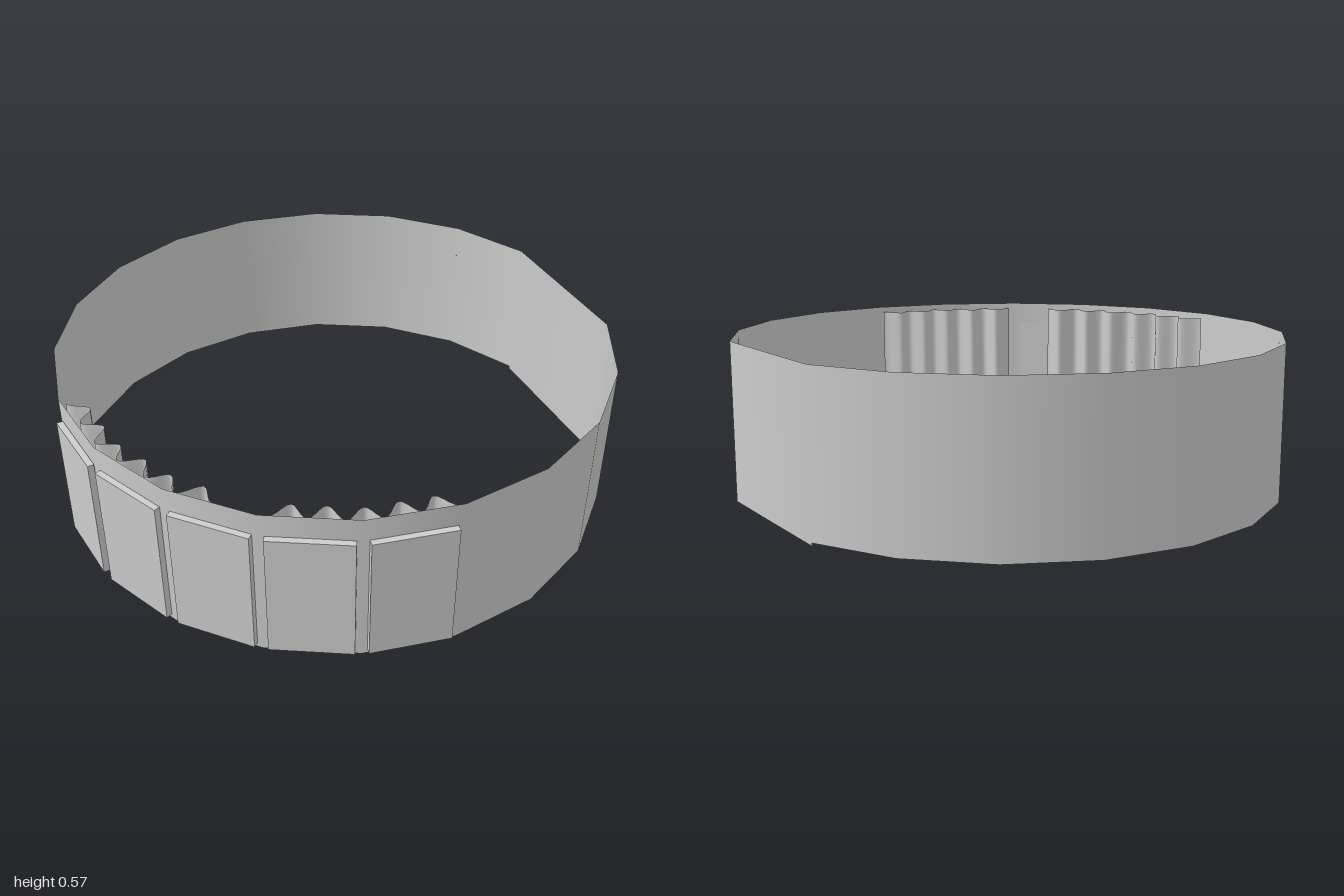
import * as THREE from 'three';

const grey = new THREE.MeshStandardMaterial({ color: 0xcccccc, side: THREE.DoubleSide });
grey.name = 'plain grey';

const DEG = Math.PI / 180;
const R = 1.0;                    // corner radius of the ring
const APOTHEM = R * Math.cos(9 * DEG);
const TOP = 0.57;
const PANEL = { w: 0.275, y0: 0.03, y1: 0.49, t: 0.022 };

function rect(target, x0, y0, x1, y1) {
  target.moveTo(x0, y0);
  target.lineTo(x1, y0);
  target.lineTo(x1, y1);
  target.lineTo(x0, y1);
  target.closePath();
  return target;
}

// One flat side of the ring between two angles, with normals that blend around the ring
function wallSide(a0, a1, bottom, open) {
  const half = R * Math.sin((a1 - a0) / 2);
  const shape = rect(new THREE.Shape(), -half, bottom, half, TOP);
  if (open) {
    const w = PANEL.w / 2 - 0.006;
    shape.holes.push(rect(new THREE.Path(), -w, PANEL.y0 + 0.006, w, PANEL.y1 - 0.006));
  }
  const g = new THREE.ShapeGeometry(shape);
  g.translate(0, 0, R * Math.cos((a1 - a0) / 2));
  g.rotateY((a0 + a1) / 2);
  const p = g.attributes.position, n = g.attributes.normal;
  for (let i = 0; i < p.count; i++) {
    const l = Math.hypot(p.getX(i), p.getZ(i));
    n.setXYZ(i, p.getX(i) / l, 0, p.getZ(i) / l);
  }
  return new THREE.Mesh(g, grey);
}

// Pleated vertical sheet following the inside of the ring
function curtain(fromDeg, toDeg, waves) {
  const steps = waves * 10;
  const g = new THREE.PlaneGeometry(1, 1, steps, 1);
  const p = g.attributes.position;
  for (let i = 0; i < p.count; i++) {
    const t = p.getX(i) + 0.5;
    const a = (fromDeg + (toDeg - fromDeg) * t) * DEG;
    const side = a - Math.round(a / (18 * DEG)) * 18 * DEG;
    const inset = 0.05 - 0.03 * Math.cos(t * waves * 2 * Math.PI);
    const r = APOTHEM / Math.cos(side) - inset;
    p.setXYZ(i, Math.sin(a) * r, p.getY(i) > 0 ? 0.55 : 0.02, Math.cos(a) * r);
  }
  g.computeVertexNormals();
  return new THREE.Mesh(g, grey);
}

export function createModel() {
  const model = new THREE.Group();
  model.name = 'ringWithPanels';
  const body = new THREE.Group();
  body.name = 'body';
  body.position.z = -0.0125;
  model.add(body);

  // Ring wall: twenty corners, one left out at the back to make a long chord
  const wall = new THREE.Group();
  wall.name = 'ringWall';
  const corners = [];
  for (let d = -45; d <= 315; d += 18) if (d !== 135) corners.push(d);
  for (let i = 0; i + 1 < corners.length; i++) {
    const a = corners[i], b = corners[i + 1];
    const side = wallSide(a * DEG, b * DEG, b - a > 20 ? 0 : 0.01, b <= 45);
    side.name = 'wallSide';
    wall.add(side);
  }
  body.add(wall);

  // Raised window panels on the five front sides
  const panels = new THREE.Group();
  panels.name = 'windowPanels';
  for (let k = -2; k <= 2; k++) {
    const g = new THREE.BoxGeometry(PANEL.w, PANEL.y1 - PANEL.y0, PANEL.t);
    g.translate(0, (PANEL.y0 + PANEL.y1) / 2, APOTHEM + 0.002 + PANEL.t / 2);
    const panel = new THREE.Mesh(g, grey);
    panel.rotation.y = k * 18 * DEG;
    panel.name = 'windowPanel';
    panels.add(panel);
  }
  body.add(panels);

  // Curtains behind the panels, with a gap between them
  const left = curtain(10.5, 44.5, 5);
  left.name = 'leftCurtain';
  const right = curtain(-44.5, 0, 6);
  right.name = 'rightCurtain';
  body.add(left, right);

  return model;
}
